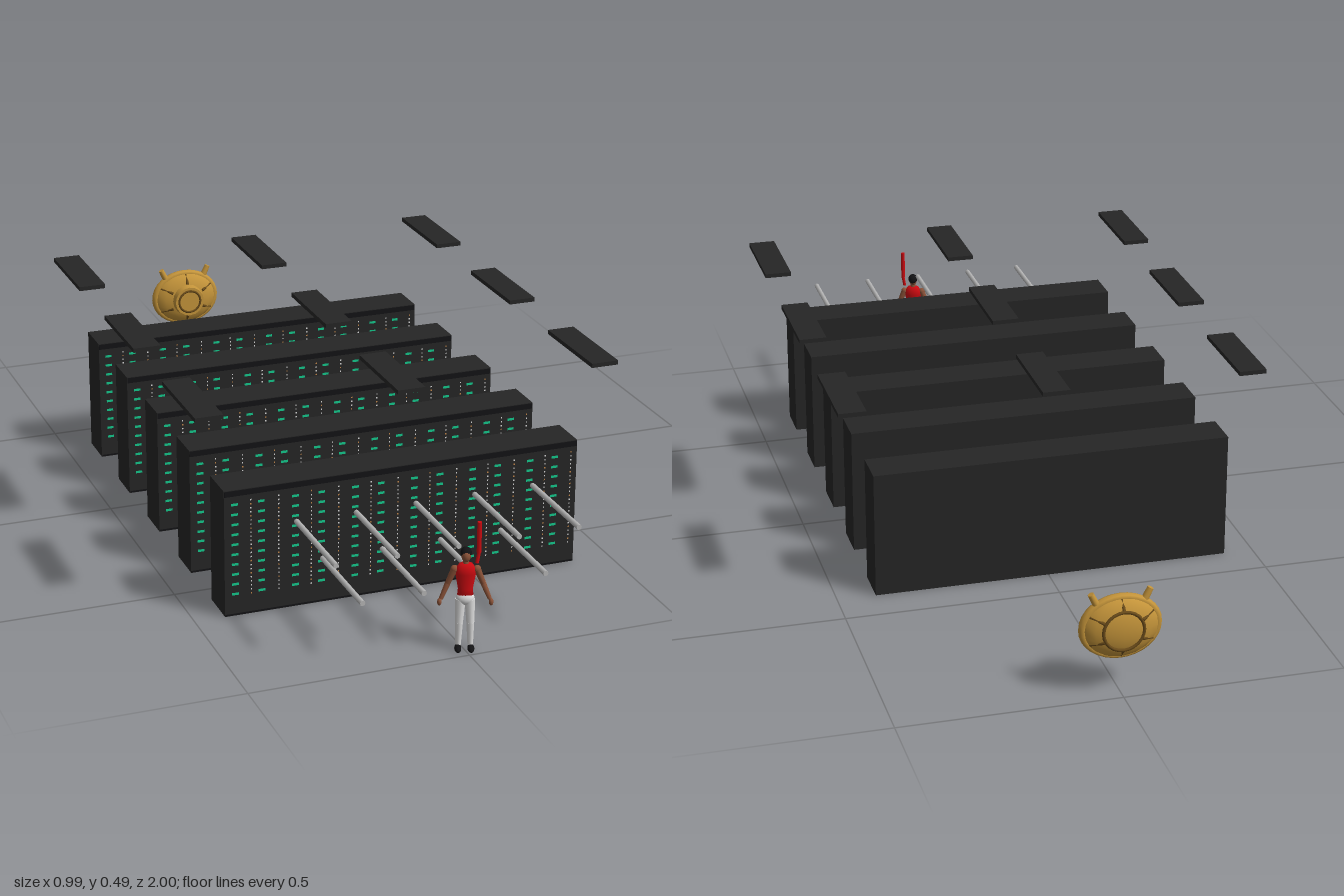
import * as THREE from 'three';
import { mergeGeometries } from 'three/addons/utils/BufferGeometryUtils.js';

const mat = (name, color, side = THREE.FrontSide) => {
  const m = new THREE.MeshStandardMaterial({ color, side });
  m.name = name;
  return m;
};

export function createModel() {
  const M = {
    rack: mat('charcoal', 0x262626),
    black: mat('black', 0x131315),
    teal: mat('teal light', 0x14c88c),
    white: mat('white', 0xdedede),
    amber: mat('amber light', 0xc98a4a),
    steel: mat('steel', 0xb4b4b4),
    red: mat('red', 0xcc0a10),
    skin: mat('brown skin', 0x8a5238),
    gold: mat('gold', 0xc4943a),
    bronze: mat('dark bronze', 0x6b4c1a),
  };
  const root = new THREE.Group();

  const add = (parent, name, geo, material, x = 0, y = 0, z = 0) => {
    const mesh = new THREE.Mesh(geo, material);
    mesh.name = name;
    mesh.position.set(x, y, z);
    parent.add(mesh);
    return mesh;
  };
  const group = (name, x = 0, y = 0, z = 0) => {
    const g = new THREE.Group();
    g.name = name;
    g.position.set(x, y, z);
    root.add(g);
    return g;
  };
  // tapered limb between two points
  const limb = (parent, name, a, b, ra, rb, material, sides = 10) => {
    const A = new THREE.Vector3(...a), B = new THREE.Vector3(...b);
    const d = B.clone().sub(A);
    const mesh = add(parent, name, new THREE.CylinderGeometry(rb, ra, d.length(), sides), material);
    mesh.position.copy(A).add(B).multiplyScalar(0.5);
    mesh.quaternion.setFromUnitVectors(new THREE.Vector3(0, 1, 0), d.normalize());
    return mesh;
  };
  const ball = (parent, name, r, scale, material, x, y, z) =>
    add(parent, name, new THREE.SphereGeometry(r, 16, 12), material, x, y, z).scale.set(...scale);

  // indicator lights, shared by every rack
  const teal = [], white = [], amber = [];
  const light = (list, w, h, x, y) => list.push(new THREE.PlaneGeometry(w, h).translate(x, y, 0.0485));
  for (let unit = 0; unit < 6; unit++) {
    const x0 = -0.42 + unit * 0.14;
    for (const dx of [0.024, 0.085])
      for (let row = 0; row < 10; row++) light(teal, 0.016, 0.006, x0 + dx, 0.053 + row * 0.0237);
    for (const dx of [0.061, 0.125])
      for (let row = 0; row < 24; row++) {
        const warm = (row * 7 + unit * 5 + (dx > 0.1 ? 3 : 0)) % 11 < 3;
        light(warm ? amber : white, 0.003, 0.0035, x0 + dx, 0.05 + row * 0.0097);
      }
  }
  const tealGeo = mergeGeometries(teal), whiteGeo = mergeGeometries(white), amberGeo = mergeGeometries(amber);

  // five rows of server racks
  for (let i = 0; i < 5; i++) {
    const g = group('serverRack', -0.01, 0, 0.6 - i * 0.24);
    add(g, 'rackBody', new THREE.BoxGeometry(0.84, 0.3, 0.094), M.rack, 0, 0.15, 0);
    add(g, 'rackTopTrim', new THREE.BoxGeometry(0.838, 0.013, 0.002), M.black, 0, 0.292, 0.047);
    add(g, 'rackFootTrim', new THREE.BoxGeometry(0.838, 0.004, 0.002), M.black, 0, 0.003, 0.047);
    add(g, 'tealLights', tealGeo, M.teal);
    add(g, 'whiteLights', whiteGeo, M.white);
    add(g, 'amberLights', amberGeo, M.amber);
  }

  // hanging panels in a three by three grid
  for (const x of [-0.465, -0.001, 0.465])
    for (const z of [0.545, 0.1, -0.345])
      add(root, 'overheadPanel', new THREE.BoxGeometry(0.064, 0.01, 0.232), M.rack, x, 0.48, z);

  // two rows of floating rods
  const rod = new THREE.CylinderGeometry(0.0062, 0.0062, 0.24, 8).rotateX(Math.PI / 2);
  for (const x of [-0.288, -0.15, -0.01, 0.13, 0.27]) add(root, 'upperRod', rod, M.steel, x, 0.237, 0.835);
  for (const x of [-0.228, -0.088, 0.05, 0.195]) add(root, 'lowerRod', rod, M.steel, x, 0.14, 0.835);

  // standing figure, turned slightly
  const p = group('figure', 0, 0, 0.97);
  p.rotation.y = -0.35;
  const torso = new THREE.LatheGeometry(
    [[0.001, 0.122], [0.018, 0.122], [0.016, 0.145], [0.022, 0.18], [0.022, 0.192], [0.014, 0.203], [0.001, 0.206]]
      .map(([r, y]) => new THREE.Vector2(r, y)), 16);
  add(p, 'vest', torso, M.red).scale.z = 0.62;
  ball(p, 'hips', 0.02, [1, 0.8, 0.68], M.white, 0, 0.122, 0);
  limb(p, 'neck', [0, 0.2, 0], [0, 0.216, 0], 0.007, 0.006, M.skin);
  ball(p, 'head', 0.012, [0.85, 1.2, 1], M.skin, 0, 0.221, 0.001);
  ball(p, 'hair', 0.0135, [0.9, 0.95, 1], M.black, 0, 0.2265, -0.003);
  for (const s of [-1, 1]) {
    ball(p, 'shoulder', 0.0085, [1, 1, 0.9], M.skin, s * 0.024, 0.19, 0);
    limb(p, 'upperArm', [s * 0.024, 0.19, 0], [s * 0.038, 0.155, -0.002], 0.0078, 0.006, M.skin);
    limb(p, 'forearm', [s * 0.038, 0.155, -0.002], [s * 0.052, 0.122, 0.004], 0.0062, 0.0045, M.skin);
    ball(p, 'hand', 0.007, [0.7, 1.2, 0.8], M.skin, s * 0.055, 0.115, 0.005);
    limb(p, 'thigh', [s * 0.01, 0.12, 0], [s * 0.012, 0.066, 0.002], 0.0115, 0.0085, M.white);
    limb(p, 'shin', [s * 0.012, 0.066, 0.002], [s * 0.013, 0.012, 0], 0.0085, 0.006, M.white);
    ball(p, 'shoe', 0.01, [0.75, 0.7, 1.8], M.black, s * 0.014, 0.007, 0.009);
  }

  // upright red bar beside the head
  limb(root, 'redBar', [0.025, 0.228, 0.98], [0.025, 0.299, 0.98], 0.005, 0.005, M.red);
  limb(root, 'barGrip', [0.021, 0.205, 0.98], [0.025, 0.228, 0.98], 0.004, 0.004, M.red);

  // gold floating machine
  const g = group('goldMachine', 0, 0.155, -0.964);
  ball(g, 'shell', 0.08, [1.08, 0.9, 0.44], M.gold, 0, 0, 0);
  add(g, 'rim', new THREE.TorusGeometry(0.083, 0.01, 8, 32), M.gold).scale.set(1, 0.82, 1.1);
  const hub = new THREE.CylinderGeometry(0.04, 0.045, 0.03, 16).rotateX(Math.PI / 2);
  add(g, 'frontHub', hub, M.gold, 0, 0, 0.031);
  add(g, 'frontHubRing', new THREE.TorusGeometry(0.03, 0.003, 6, 20), M.bronze, 0, 0, 0.046);
  add(g, 'backRing', new THREE.TorusGeometry(0.045, 0.004, 6, 24), M.bronze, 0, 0, -0.029);
  for (let i = 0; i < 6; i++) {
    const a = (i + 0.5) * Math.PI / 3, c = Math.cos(a), s = Math.sin(a);
    for (const side of [-1, 1])
      limb(g, 'spoke', [c * 0.048, s * 0.044, side * 0.029], [c * 0.08, s * 0.066, side * 0.009],
        0.004, 0.004, M.bronze, 6);
  }
  for (const s of [-1, 1])
    limb(g, 'horn', [s * 0.048, 0.045, 0], [s * 0.066, 0.082, 0], 0.009, 0.007, M.gold);

  return root;
}
